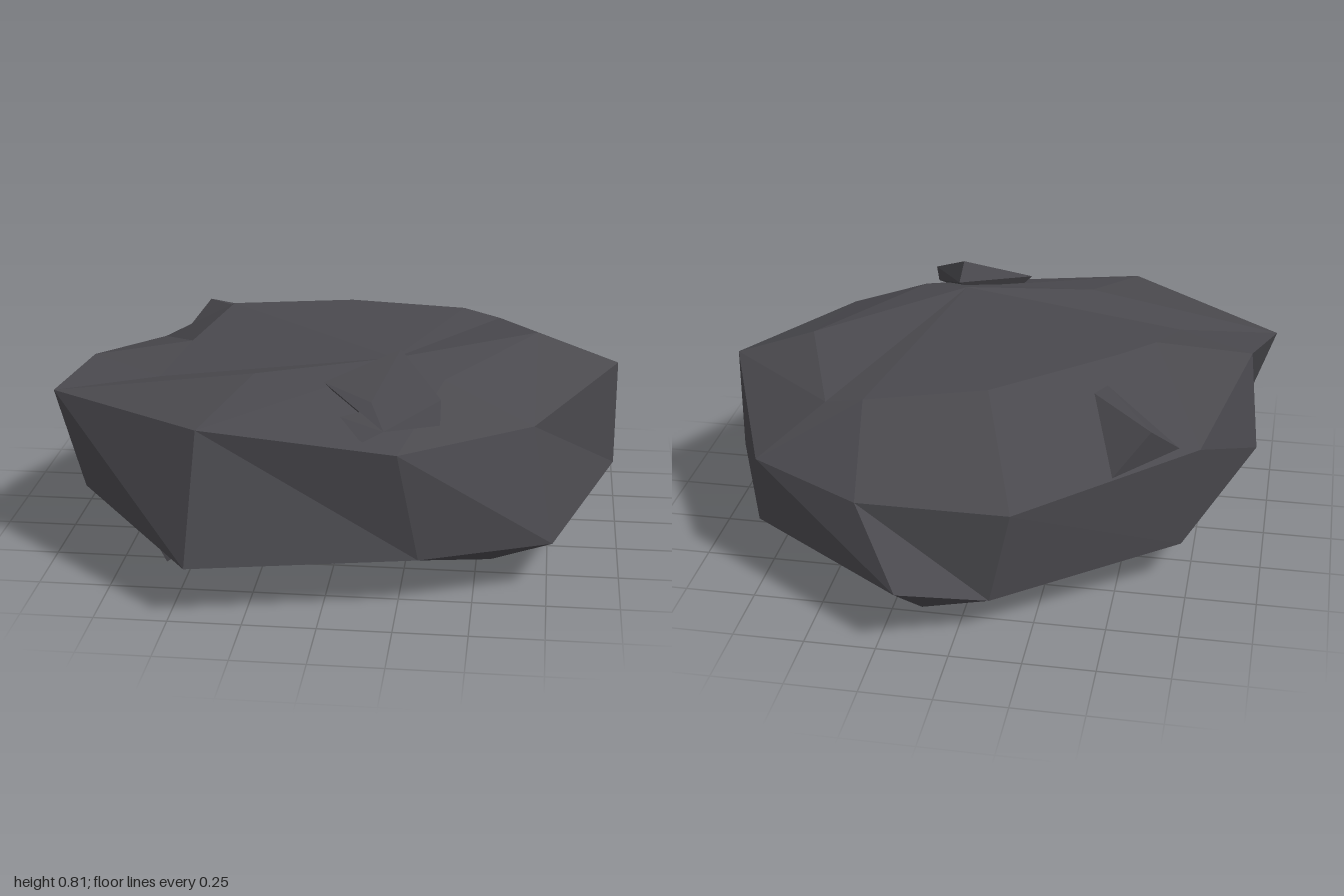
import * as THREE from 'three';
import { ConvexGeometry } from 'three/addons/geometries/ConvexGeometry.js';

const stone = new THREE.MeshStandardMaterial({ color: 0x4a494e });
stone.name = 'dark stone';

// Cross-sections of the boulder from base to crown, ten corners each (from +x towards +z)
const rings = [
  [[0.69, 0, -0.05], [0.55, 0, 0.39], [0.02, 0.025, 0.42], [-0.37, 0.175, 0.78], [-0.48, 0.01, 0.28],
    [-0.48, 0.01, 0.05], [-0.4, 0.02, -0.15], [-0.09, 0.01, -0.36], [0.15, 0, -0.72], [0.53, 0.11, -0.45]],
  [[0.985, 0.22, -0.05], [0.765, 0.18, 0.635], [0.32, 0.18, 0.82], [-0.44, 0.19, 0.995], [-0.88, 0.27, 0.51],
    [-0.95, 0.3, 0.11], [-0.72, 0.16, -0.4], [-0.11, 0.13, -0.84], [0.18, 0.22, -1], [0.765, 0.22, -0.59]],
  [[0.985, 0.61, -0.05], [0.69, 0.575, 0.56], [0.25, 0.57, 0.87], [-0.41, 0.635, 0.88], [-0.99, 0.61, 0.47],
    [-0.91, 0.65, 0.18], [-0.77, 0.54, -0.4], [-0.18, 0.46, -0.83], [0.35, 0.46, -0.83], [0.765, 0.46, -0.59]],
  [[0.69, 0.715, -0.05], [0.38, 0.705, 0.49], [0.1, 0.715, 0.5], [-0.27, 0.715, 0.52], [-0.63, 0.64, 0.37],
    [-0.56, 0.695, 0.12], [-0.45, 0.76, -0.15], [-0.03, 0.71, -0.41], [0.4, 0.67, -0.48], [0.54, 0.64, -0.46]],
];
const baseCentre = [0, 0, 0.08];
const peak = [0.2, 0.745, 0.39];

// True when splitting the quad a, b, c, d along b-d leaves an outward ridge
function ridgeAlongBD(a, b, c, d) {
  const [A, B, C, D] = [a, b, c, d].map((p) => new THREE.Vector3(...p));
  return B.sub(A).cross(D.sub(A)).dot(C.sub(A)) <= 0;
}

// Which diagonal each band uses: underside convex, flanks a-c, shoulder b-d
const splitAlongBD = [ridgeAlongBD, () => false, () => true];

// Skin the rings with triangles and close both ends with fans
function boulderGeometry() {
  const pos = [];
  const tri = (...corners) => corners.forEach((c) => pos.push(...c));
  const n = rings[0].length;
  const crown = rings.length - 1;
  for (let i = 0; i < n; i++) {
    const j = (i + 1) % n;
    for (let r = 0; r < crown; r++) {
      const a = rings[r][i], b = rings[r + 1][i], c = rings[r + 1][j], d = rings[r][j];
      if (splitAlongBD[r](a, b, c, d)) {
        tri(a, b, d);
        tri(b, c, d);
      } else {
        tri(a, b, c);
        tri(a, c, d);
      }
    }
    tri(rings[crown][i], peak, rings[crown][j]);
    tri(rings[0][j], baseCentre, rings[0][i]);
  }
  const g = new THREE.BufferGeometry();
  g.setAttribute('position', new THREE.Float32BufferAttribute(pos, 3));
  g.computeVertexNormals();
  return g;
}

// Small angular shards lodged in the surface
const shards = {
  backShard: [[-0.43, 0.7, -0.28], [-0.39, 0.69, -0.33], [-0.61, 0.66, -0.53],
    [-0.49, 0.51, -0.6], [-0.7, 0.55, -0.42], [-0.5, 0.5, -0.4]],
  frontShard: [[0.23, 0.81, 0.49], [0.24, 0.74, 0.44], [0.36, 0.7, 0.67], [0.38, 0.7, 0.68],
    [0.38, 0.625, 0.72], [0.2, 0.625, 0.8], [0.15, 0.69, 0.7], [-0.02, 0.72, 0.6], [0.1, 0.6, 0.6]],
  frontChip: [[0.05, 0.65, 0.74], [0.13, 0.595, 0.83], [0.2, 0.625, 0.8], [0.15, 0.67, 0.71], [0.12, 0.57, 0.7]],
  undersideShard: [[-0.58, 0.03, 0.6], [-0.5, 0.05, 0.5], [-0.71, 0.22, 0.52], [-0.37, 0.18, 0.64], [-0.5, 0.24, 0.45]],
};

export function createModel() {
  const group = new THREE.Group();
  group.name = 'rock';
  const add = (name, geometry) => {
    const mesh = new THREE.Mesh(geometry, stone);
    mesh.name = name;
    group.add(mesh);
  };
  add('boulder', boulderGeometry());
  for (const [name, corners] of Object.entries(shards)) {
    add(name, new ConvexGeometry(corners.map((c) => new THREE.Vector3(...c))));
  }
  return group;
}
